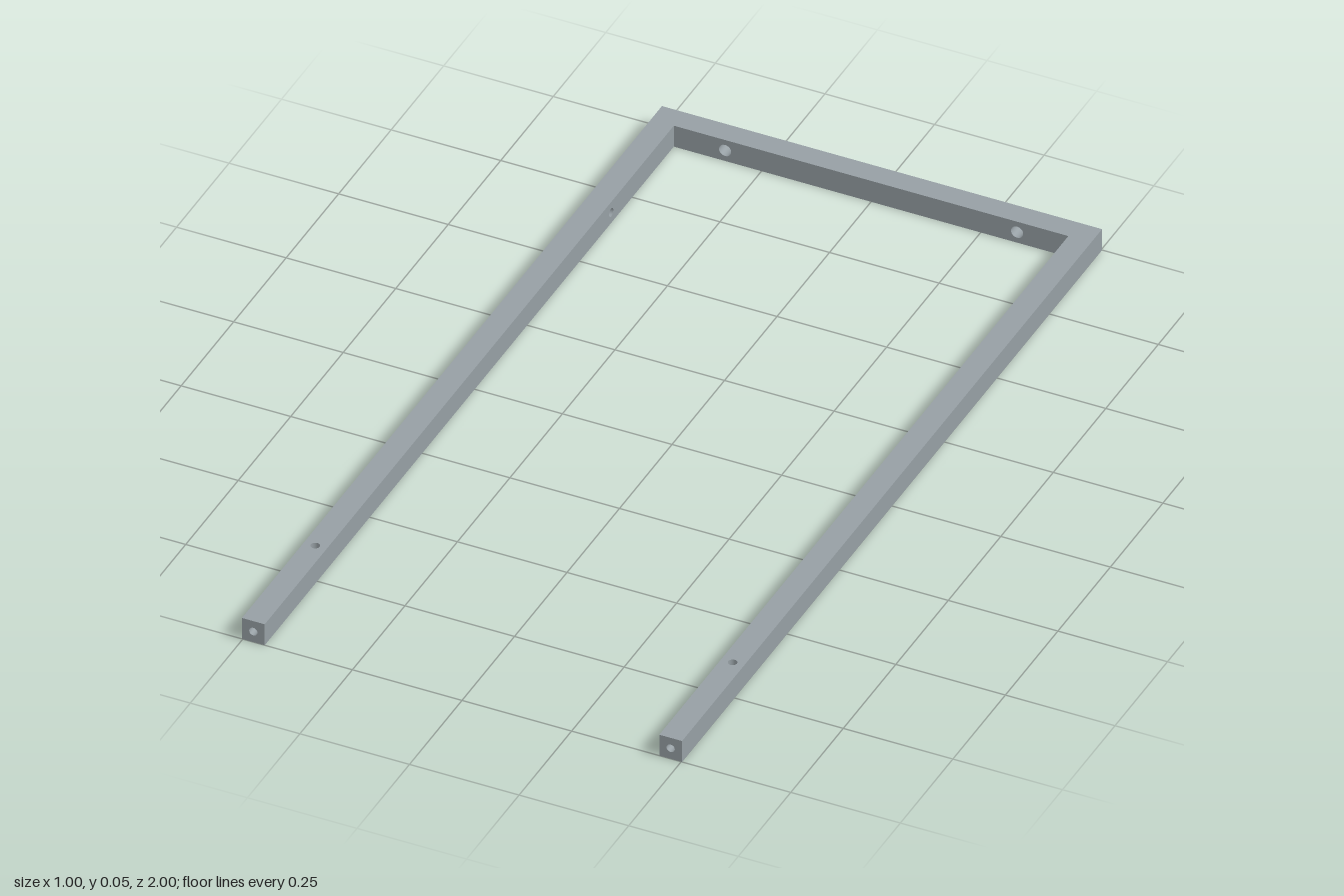
import * as THREE from 'three';

const W = 0.502, L = 1, T = 0.052, H = 0.053, MID = H / 2;
const X_RAIL = W - T / 2;

export function createModel() {
  const model = new THREE.Group();
  const color = 0x969fa4;
  const steel = new THREE.MeshStandardMaterial({ color });
  const boreSteel = new THREE.MeshStandardMaterial({ color, side: THREE.DoubleSide });

  function add(name, geometry, material = steel) {
    const mesh = new THREE.Mesh(geometry, material);
    mesh.name = name;
    model.add(mesh);
    return mesh;
  }

  // Flat face from an outline with round holes given as [x, y, radius]
  function face(points, holes = []) {
    const shape = new THREE.Shape(points.map(([x, y]) => new THREE.Vector2(x, y)));
    for (const [x, y, r] of holes) {
      shape.holes.push(new THREE.Path().absarc(x, y, r, 0, Math.PI * 2, true));
    }
    return new THREE.ShapeGeometry(shape, 16);
  }

  // Upright wall centred at (x, z), turned about y
  function wall(name, length, x, z, turn, holes) {
    const h = length / 2;
    const mesh = add(name, face([[-h, 0], [h, 0], [h, H], [-h, H]], holes));
    mesh.position.set(x, 0, z);
    mesh.rotation.y = turn;
  }

  // Lining of a drilled hole between two points, with a floor if blind
  function bore(name, from, to, radius, blind) {
    const a = new THREE.Vector3(...from), b = new THREE.Vector3(...to);
    const dir = b.clone().sub(a), depth = dir.length();
    dir.normalize();
    const tube = add(name, new THREE.CylinderGeometry(radius, radius, depth, 32, 1, true), boreSteel);
    tube.position.copy(a).add(b).multiplyScalar(0.5);
    tube.quaternion.setFromUnitVectors(new THREE.Vector3(0, 1, 0), dir);
    if (blind) {
      const floor = add(name + 'Floor', new THREE.CircleGeometry(radius, 32), boreSteel);
      floor.position.copy(b);
      floor.quaternion.setFromUnitVectors(new THREE.Vector3(0, 0, 1), dir.clone().negate());
    }
  }

  // U-shaped top and bottom faces, pierced by the vertical holes
  const pinZ = 0.705, pinR = 0.01;
  const outline = (s) => [
    [-W, -L * s], [-W + T, -L * s], [-W + T, (L - T) * s], [W - T, (L - T) * s],
    [W - T, -L * s], [W, -L * s], [W, L * s], [-W, L * s],
  ];
  const pins = (s) => [-1, 1].map((k) => [k * X_RAIL, -pinZ * s, pinR]);
  const top = add('frameTop', face(outline(1), pins(1)));
  top.rotation.x = -Math.PI / 2;
  top.position.y = H;
  const bottom = add('frameBottom', face(outline(-1), pins(-1)));
  bottom.rotation.x = Math.PI / 2;

  // Rear crossbar walls with two through holes
  const boltX = 0.333, boltR = 0.014;
  const bolts = [[-boltX, MID, boltR], [boltX, MID, boltR]];
  wall('crossbarBack', 2 * W, 0, -L, Math.PI, bolts);
  wall('crossbarFront', 2 * (W - T), 0, -L + T, 0, bolts);

  // Side rails: outer, inner and end walls with their holes
  const endR = 0.0095, sideR = 0.01, sideZ = -0.65;
  for (const s of [-1, 1]) {
    const side = s > 0 ? 'left' : 'right';
    wall(side + 'RailOuter', 2 * L, s * W, 0, s * Math.PI / 2);
    // only the right rail carries a blind hole on its inner face
    const sideHole = s < 0 ? [[-sideZ + T / 2, MID, sideR]] : [];
    wall(side + 'RailInner', 2 * L - T, s * (W - T), T / 2, -s * Math.PI / 2, sideHole);
    wall(side + 'RailEnd', T, s * X_RAIL, L, 0, [[0, MID, endR]]);
    bore(side + 'EndHole', [s * X_RAIL, MID, L], [s * X_RAIL, MID, L - 0.1], endR, true);
    bore(side + 'PinHole', [s * X_RAIL, H, pinZ], [s * X_RAIL, 0, pinZ], pinR);
    bore(side + 'BoltHole', [s * boltX, MID, -L], [s * boltX, MID, -L + T], boltR);
  }
  bore('rightSideHole', [-W + T, MID, sideZ], [-W + T * 0.4, MID, sideZ], sideR, true);

  return model;
}
